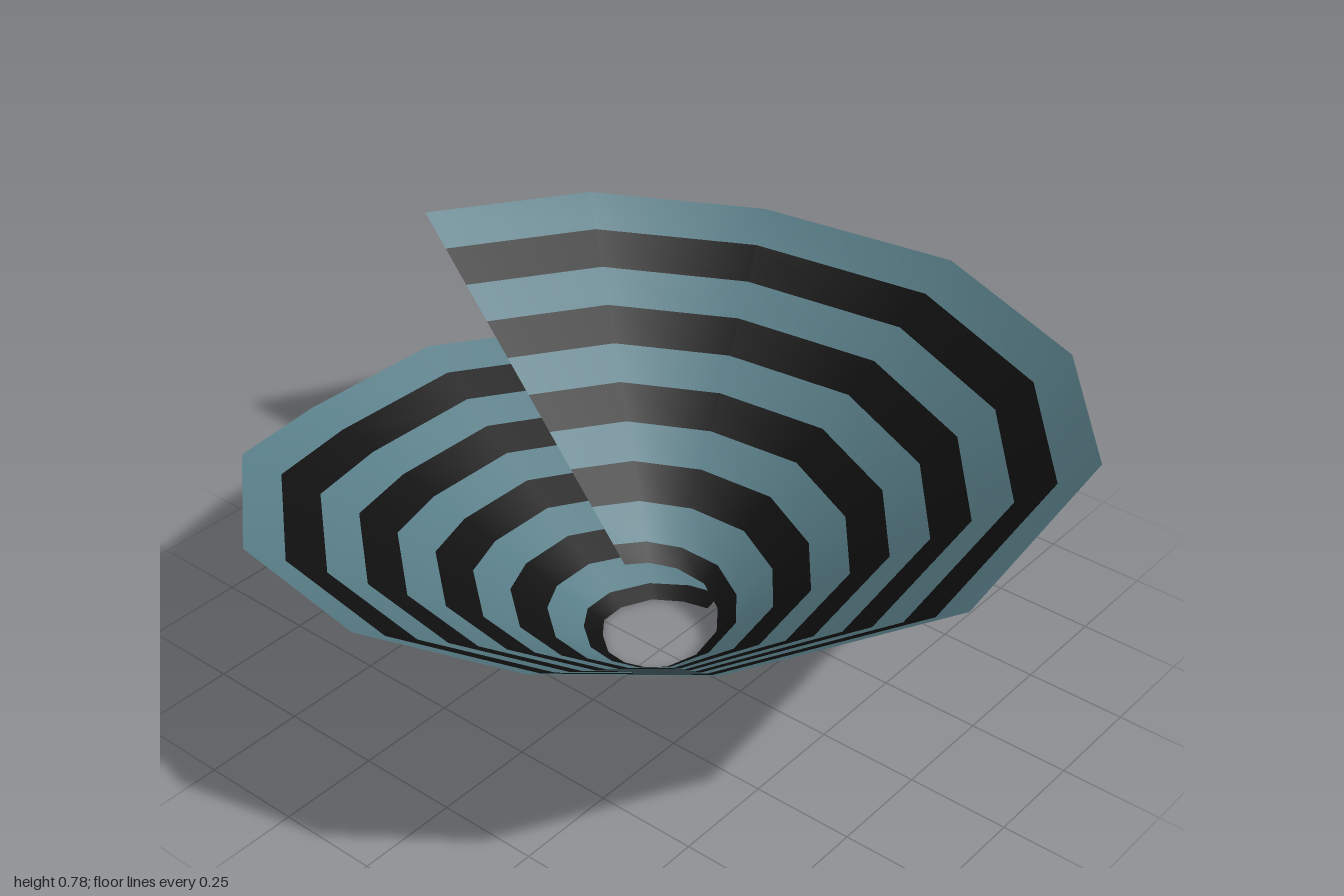
import * as THREE from 'three';

// Outer rim of the coiled sheet, from the low loose end to the high loose end,
// each with the height of the matching point on the small inner edge: x, y, z, inner y
const RIM = [
  [0.11, 0.41, -1.0, 0.01], [-0.34, 0.37, -0.95, 0], [-0.72, 0.365, -0.66, 0],
  [-0.98, 0.39, -0.22, 0], [-0.98, 0.4, 0.196, 0], [-0.82, 0.51, 0.56, 0],
  [-0.43, 0.6, 0.895, 0.004], [0.01, 0.645, 0.99, 0.01], [0.41, 0.685, 0.9, 0.015],
  [0.72, 0.705, 0.68, 0.02], [0.977, 0.705, 0.196, 0.035], [0.9, 0.705, -0.44, 0.05],
  [0.6, 0.705, -0.8, 0.07], [0.12, 0.705, -1.0, 0.095], [-0.41, 0.705, -0.92, 0.11],
  [-0.775, 0.745, -0.64, 0.125], [-0.975, 0.78, -0.235, 0.14],
];
const HOLE = new THREE.Vector3(-0.032, 0, -0.04);
const BANDS = 10;
const BAND_STEP = 0.105;

// Matching point on the edge of the centre hole; the underlap is slightly wider
function innerPoint([x, , z, y], i) {
  const radius = i < 5 ? 0.157 : 0.143;
  return new THREE.Vector3(x, 0, z).sub(HOLE).setLength(radius).add(HOLE).setY(y);
}

export function createModel() {
  const blue = new THREE.MeshStandardMaterial({ color: 0x587d87, side: THREE.DoubleSide });
  blue.name = 'slateBlue';
  const black = new THREE.MeshStandardMaterial({ color: 0x101010, side: THREE.DoubleSide });
  black.name = 'black';

  // Straight lines run from rim to hole, cut into concentric bands
  const positions = [];
  const count = RIM.length;
  for (let j = 0; j <= BANDS; j++) {
    const t = Math.min(1, j * BAND_STEP);
    RIM.forEach((r, i) => {
      const p = new THREE.Vector3(r[0], r[1], r[2]).lerp(innerPoint(r, i), t);
      positions.push(p.x, p.y, p.z);
    });
  }

  // One group per band, blue and black in turn
  const geometry = new THREE.BufferGeometry();
  const index = [];
  for (let j = 0; j < BANDS; j++) {
    const start = index.length;
    for (let i = 0; i < count - 1; i++) {
      const a = j * count + i;
      const c = a + count;
      index.push(a, a + 1, c, a + 1, c + 1, c);
    }
    geometry.addGroup(start, index.length - start, j % 2);
  }
  geometry.setAttribute('position', new THREE.Float32BufferAttribute(positions, 3));
  geometry.setIndex(index);
  geometry.computeVertexNormals();

  const sheet = new THREE.Mesh(geometry, [blue, black]);
  sheet.name = 'stripedConeSheet';

  const model = new THREE.Group();
  model.name = 'coiledCone';
  model.add(sheet);
  return model;
}
